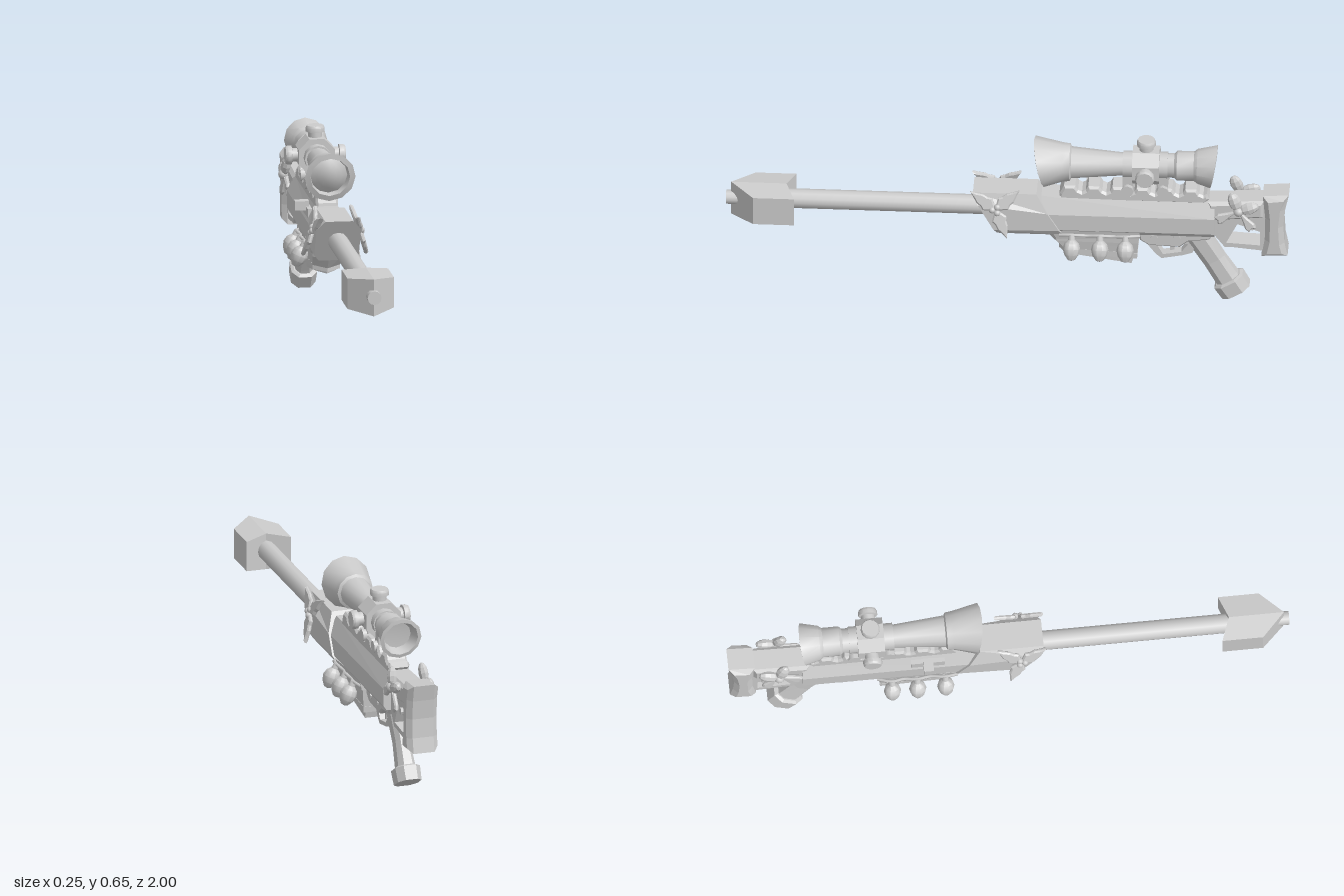
import * as THREE from 'three';
import { toCreasedNormals } from 'three/addons/utils/BufferGeometryUtils.js';

const mat = new THREE.MeshStandardMaterial({ color: 0xcccccc });
const flat = new THREE.MeshStandardMaterial({ color: 0xcccccc, flatShading: true });

function add(parent, name, geo, x = 0, y = 0, z = 0, material = flat) {
  const m = new THREE.Mesh(geo, material);
  m.name = name;
  m.position.set(x, y, z);
  parent.add(m);
  return m;
}

const outline = (pts) => pts.map(([a, b]) => new THREE.Vector2(a, b));

// Side profile of [z, y] points, extruded across x and centred
function slab(pts, width, holes = [], bevel = 0) {
  const shape = new THREE.Shape(outline(pts));
  for (const h of holes) shape.holes.push(new THREE.Path(outline(h)));
  const depth = width - 2 * bevel;
  const g = new THREE.ExtrudeGeometry(shape, {
    depth, bevelEnabled: bevel > 0, bevelSize: bevel, bevelOffset: -bevel,
    bevelThickness: bevel, bevelSegments: 1,
  });
  return g.translate(0, 0, -depth / 2).rotateY(-Math.PI / 2);
}

// Skin over rings of [x, y, z] points, counter-clockwise seen from the last ring's side, with end caps
function loft(rings) {
  const n = rings[0].length, index = [];
  for (let r = 0; r < rings.length - 1; r++) {
    for (let i = 0; i < n; i++) {
      const a = r * n + i, b = r * n + (i + 1) % n;
      index.push(a, b, b + n, a, b + n, a + n);
    }
  }
  const last = (rings.length - 1) * n;
  for (let i = 1; i < n - 1; i++) index.push(0, i + 1, i, last, last + i, last + i + 1);
  const g = new THREE.BufferGeometry();
  g.setAttribute('position', new THREE.Float32BufferAttribute(rings.flat(2), 3));
  g.setIndex(index);
  const out = g.toNonIndexed();
  out.computeVertexNormals();
  return out;
}

// Eight-sided body section; lean tips the section forward at the top
function section(z, lean, top, yTop, side, yHigh, yLow, bottom, yBottom) {
  const right = [[bottom, yBottom], [side, yLow], [side, yHigh], [top, yTop]];
  const left = right.map(([x, y]) => [-x, y]).reverse();
  return [...right, ...left].map(([x, y]) => [x, y, z + lean * (y - 0.35)]);
}

// Five-sided plan section with a pointed front edge
const prow = (w, back, yBack, front, yFront) => [
  [w, yFront, front - 0.03], [w, yBack, back], [-w, yBack, back], [-w, yFront, front - 0.03], [0, yFront - 0.006, front],
];

const lathe = (pts, sides) => toCreasedNormals(new THREE.LatheGeometry(outline(pts), sides), 0.62);

// Thin blade pointing along +y from [along, width] edge points
function blade(length, width, edge) {
  const right = edge.map(([t, w]) => [w * width, t * length]);
  const left = right.map(([a, b]) => [-a, b]).reverse();
  return slab([[0, 0], ...right, [0, length], ...left], 0.016, [], 0.005);
}

export function createModel() {
  const model = new THREE.Group();
  model.name = 'scopedRifle';

  // Barrel and arrow-shaped muzzle brake
  add(model, 'barrel', new THREE.CylinderGeometry(0.035, 0.035, 0.78, 12).rotateX(Math.PI / 2), 0, 0.355, 0.41, mat);
  add(model, 'muzzleTip', new THREE.CylinderGeometry(0.025, 0.025, 0.06, 12).rotateX(Math.PI / 2), 0, 0.352, 0.97, mat);
  const brakeRing = (x, rise, back, front) => [
    [x, 0.294 - rise, back], [x, 0.404 + rise, back], [x, 0.404 + rise, front], [x, 0.294 - rise, front],
  ];
  add(model, 'muzzleBrake', loft([
    brakeRing(-0.083, 0, 0.755, 0.9), brakeRing(0, 0.012, 0.786, 0.982), brakeRing(0.083, 0, 0.755, 0.9),
  ]));

  // Front shroud and receiver
  add(model, 'frontShroud', loft([
    section(-0.155, 0.6, 0.05, 0.436, 0.075, 0.37, 0.3, 0.062, 0.277),
    section(0.075, 0.55, 0.05, 0.436, 0.08, 0.402, 0.3, 0.062, 0.277),
  ]));
  add(model, 'receiver', loft([
    section(-0.735, 0, 0.036, 0.42, 0.066, 0.363, 0.3, 0.055, 0.283),
    section(-0.12, 0, 0.038, 0.425, 0.068, 0.363, 0.3, 0.055, 0.283),
  ]));
  add(model, 'boltHandle', new THREE.BoxGeometry(0.05, 0.033, 0.035), -0.077, 0.408, -0.29);
  add(model, 'ejectionPort', new THREE.BoxGeometry(0.02, 0.04, 0.12), -0.053, 0.385, -0.29);

  // Scalloped sight rail
  const rail = [[-0.7, 0.41], [-0.18, 0.41], [-0.185, 0.435]];
  for (let i = 0; i < 6; i++) {
    const z = -0.2 - i * 0.086;
    rail.push([z, 0.467], [z - 0.04, 0.467], [z - 0.05, 0.45], [z - 0.064, 0.443], [z - 0.077, 0.45]);
  }
  rail.push([-0.715, 0.43]);
  add(model, 'sightRail', slab(rail, 0.08, [], 0.008));

  // Magazine well and magazine, both with a pointed front
  add(model, 'magazineWell', loft([
    prow(0.048, -0.46, 0.195, -0.185, 0.2), prow(0.054, -0.465, 0.245, -0.145, 0.245), prow(0.056, -0.47, 0.3, -0.135, 0.29),
  ]));
  add(model, 'wellCollar', loft([prow(0.06, -0.47, 0.268, -0.145, 0.258), prow(0.066, -0.47, 0.31, -0.13, 0.288)]));
  add(model, 'magazine', loft([prow(0.037, -0.44, 0.15, -0.195, 0.183), prow(0.039, -0.455, 0.21, -0.19, 0.21)]));
  add(model, 'magazineLip', loft([prow(0.05, -0.46, 0.178, -0.18, 0.192), prow(0.05, -0.462, 0.2, -0.18, 0.212)]));

  // Trigger housing, guard and trigger
  add(model, 'triggerHousing', slab(
    [[-0.46, 0.295], [-0.735, 0.29], [-0.715, 0.26], [-0.64, 0.25], [-0.61, 0.225], [-0.5, 0.23], [-0.47, 0.25]],
    0.085, [], 0.006));
  add(model, 'triggerGuard', slab(
    [[-0.48, 0.24], [-0.67, 0.24], [-0.655, 0.19], [-0.62, 0.178], [-0.545, 0.163], [-0.525, 0.18]], 0.036,
    [[[-0.525, 0.225], [-0.55, 0.18], [-0.615, 0.192], [-0.64, 0.225]]]));
  add(model, 'trigger', slab([[-0.575, 0.235], [-0.595, 0.235], [-0.59, 0.195], [-0.575, 0.19]], 0.014));

  // Raked grip with flared foot
  const grip = new THREE.Group();
  grip.name = 'grip';
  grip.position.set(0, 0.27, -0.665);
  grip.rotation.x = 0.54;
  model.add(grip);
  const gripRing = (y, w, d) => [[w, d / 2], [w, -d / 2], [w / 2, -d], [-w / 2, -d], [-w, -d / 2], [-w, d / 2], [-w / 2, d], [w / 2, d]]
    .map(([x, z]) => [x, y, z]);
  add(grip, 'gripHandle', loft([
    gripRing(-0.26, 0.034, 0.046), gripRing(-0.21, 0.031, 0.043), gripRing(-0.13, 0.026, 0.041), gripRing(0.01, 0.03, 0.044),
  ]));
  add(grip, 'gripFoot', loft([
    gripRing(-0.28, 0.044, 0.056), gripRing(-0.228, 0.046, 0.058), gripRing(-0.222, 0.036, 0.048),
  ]));

  // Skeleton stock and curved butt pad
  add(model, 'stock', slab(
    [[-0.72, 0.415], [-0.92, 0.425], [-0.92, 0.22], [-0.8, 0.232], [-0.77, 0.232], [-0.73, 0.285]], 0.076,
    [[[-0.775, 0.25], [-0.895, 0.243], [-0.895, 0.3], [-0.815, 0.33]]]));
  add(model, 'stockCheek', slab([[-0.71, 0.42], [-0.91, 0.43], [-0.91, 0.36], [-0.71, 0.34]], 0.096, [], 0.012));
  add(model, 'buttPad', slab(
    [[-0.905, 0.452], [-0.998, 0.46], [-0.985, 0.4], [-0.978, 0.33], [-0.982, 0.26], [-0.993, 0.205],
      [-0.9, 0.2], [-0.912, 0.27], [-0.914, 0.36]], 0.114, [], 0.018));

  // Scope: one turned body, its two end rims cut at a slant
  const scope = new THREE.Group();
  scope.name = 'scope';
  scope.position.set(0, 0.545, 0);
  model.add(scope);
  const body = new THREE.LatheGeometry(outline([
    [0, -0.685], [0.05, -0.69], [0.064, -0.732], [0.077, -0.73], [0.062, -0.672], [0.053, -0.66], [0.053, -0.6],
    [0.044, -0.59], [0.04, -0.42], [0.057, -0.225], [0.067, -0.22], [0.07, -0.195], [0.091, -0.112], [0.071, -0.108],
    [0.066, -0.145], [0.045, -0.132], [0.024, -0.124], [0, -0.12],
  ]), 12).rotateX(Math.PI / 2);
  const p = body.attributes.position;
  for (let i = 0; i < p.count; i++) {
    const z = p.getZ(i), k = z > -0.16 ? 0.22 : z < -0.68 ? -0.17 : 0;
    p.setZ(i, z + k * p.getY(i));
  }
  add(scope, 'scopeBody', toCreasedNormals(body, 0.62), 0, 0, 0, mat);
  add(scope, 'turretBlock', new THREE.CylinderGeometry(0.07, 0.07, 0.095, 8).rotateY(Math.PI / 8).rotateX(Math.PI / 2), 0, 0, -0.49);
  const knob = lathe([[0, 0], [0.025, 0], [0.025, 0.026], [0.034, 0.028], [0.034, 0.042], [0.03, 0.05], [0, 0.05]], 12);
  add(scope, 'topKnob', knob, 0, 0.056, -0.49, mat);
  for (const s of [1, -1]) add(scope, 'sideKnob', knob, s * 0.057, 0, -0.49, mat).rotation.z = -s * Math.PI / 2;
  for (const z of [-0.425, -0.55]) {
    add(scope, 'scopeRing', new THREE.CylinderGeometry(0.048, 0.048, 0.034, 12).rotateX(Math.PI / 2), 0, 0, z, mat);
    add(scope, 'ringFoot', new THREE.BoxGeometry(0.06, 0.075, 0.036), 0, -0.073, z);
    add(scope, 'clampBolt', new THREE.CylinderGeometry(0.022, 0.022, 0.09, 8).rotateZ(Math.PI / 2), 0, -0.088, z, mat);
  }

  // Decorations, repeated on both sides
  const bulb = lathe([[0, -0.042], [0.013, -0.038], [0.026, -0.019], [0.031, 0.002], [0.026, 0.021], [0.013, 0.034]], 10);
  const socket = new THREE.CylinderGeometry(0.011, 0.013, 0.022, 8);
  const leaf = blade(0.112, 0.028, [[0.12, 0.45], [0.32, 1], [0.45, 0.75], [0.62, 0.7], [0.8, 0.35]]);
  const ribbon = blade(0.085, 0.019, [[0.45, 0.5], [0.85, 1], [1.05, 0.75]]);
  const berry = new THREE.IcosahedronGeometry(0.012, 1);
  const loopGeo = new THREE.SphereGeometry(1, 8, 6);
  for (const s of [1, -1]) {
    // String of bulbs
    const wire = [];
    for (const z of [-0.23, -0.33, -0.42]) {
      const light = new THREE.Group();
      light.name = 'lightBulb';
      light.position.set(s * 0.094, 0.238, z);
      light.rotation.z = s * 0.4;
      model.add(light);
      add(light, 'bulb', bulb, 0, 0, 0, mat);
      add(light, 'socket', socket, 0, 0.042, 0, mat);
      wire.push(new THREE.Vector3(s * 0.068, 0.28, z + 0.045), new THREE.Vector3(s * 0.076, 0.286, z));
    }
    wire.push(new THREE.Vector3(s * 0.06, 0.28, -0.47));
    add(model, 'lightWire', new THREE.TubeGeometry(new THREE.CatmullRomCurve3(wire), 24, 0.006, 6), 0, 0, 0, mat);

    // Spiny leaves with berries
    const sprig = new THREE.Group();
    sprig.name = 'leafSprig';
    sprig.position.set(s * 0.084, 0.388, 0.04);
    sprig.rotation.z = s * 0.3;
    model.add(sprig);
    for (const a of [0.95, -0.85, -2.75]) add(sprig, 'leaf', leaf).rotation.x = a;
    for (let i = 0; i < 3; i++) {
      const a = i * 2.1;
      add(sprig, 'berry', berry, s * 0.004, Math.sin(a) * 0.012, Math.cos(a) * 0.012, mat);
    }

    // Ribbon bow
    const bow = new THREE.Group();
    bow.name = 'ribbonBow';
    bow.position.set(s * 0.057, 0.4, -0.82);
    bow.rotation.z = s * 0.12;
    model.add(bow);
    for (const a of [2.05, -2.55]) add(bow, 'ribbonTail', ribbon).rotation.x = a;
    for (const a of [0.35, -1.25]) {
      const loop = add(bow, 'ribbonLoop', loopGeo, s * 0.006, Math.cos(a) * 0.038, Math.sin(a) * 0.038);
      loop.scale.set(0.018, 0.038, 0.023);
      loop.rotation.x = a;
    }
    add(bow, 'ribbonKnot', new THREE.IcosahedronGeometry(0.018, 1), s * 0.01, 0, 0, mat);

    // Small pins on the housing and stock
    for (const [y, z] of [[0.265, -0.52], [0.268, -0.6], [0.325, -0.868]]) {
      add(model, 'pin', new THREE.CylinderGeometry(0.013, 0.013, 0.012, 8).rotateZ(Math.PI / 2), s * 0.042, y, z);
    }
  }
  return model;
}
